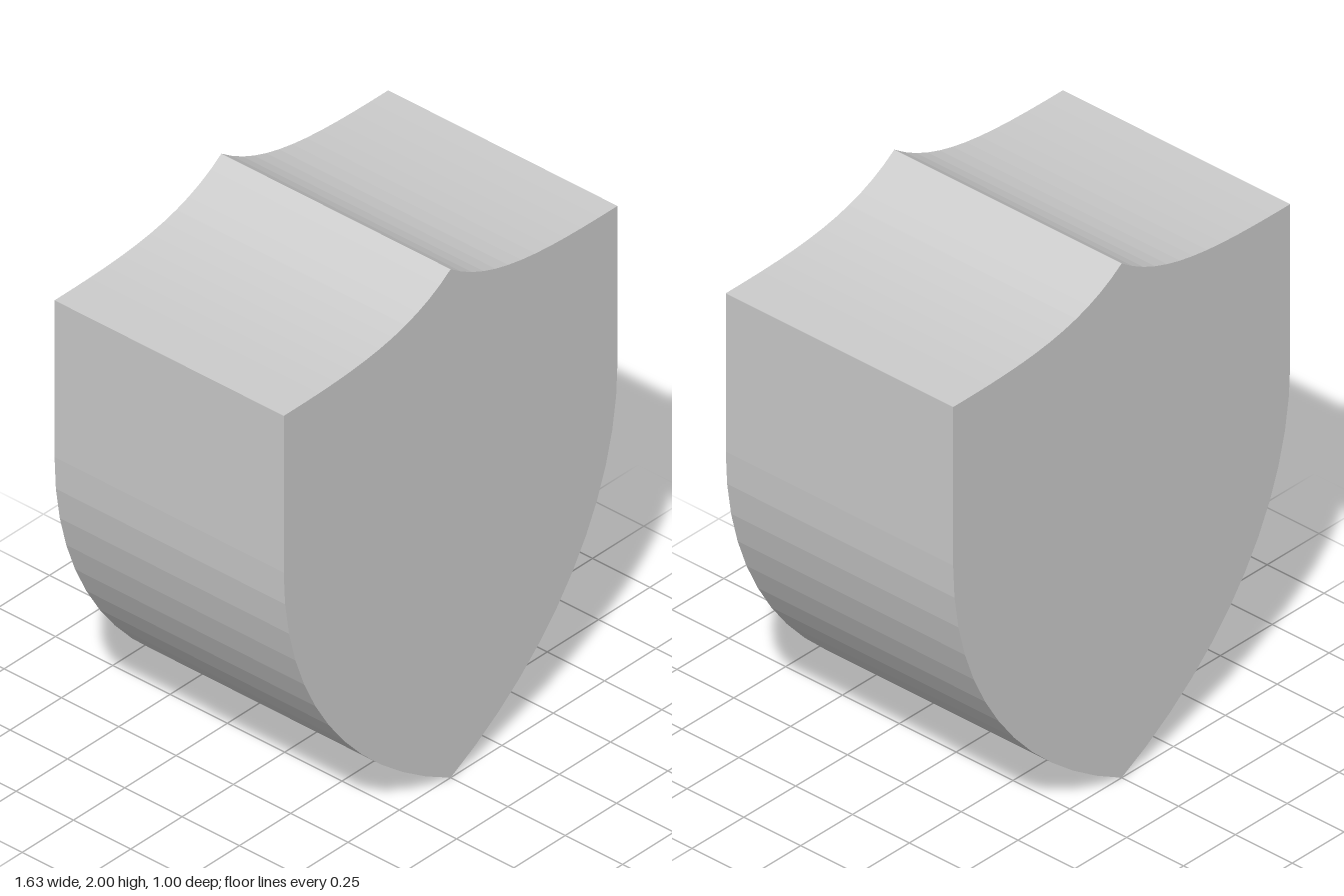
import * as THREE from 'three';

const HALF_WIDTH = 0.813;
const DEPTH = 1;

// Shield outline: pointed base, straight upper sides, concave top rising to a peak
function shieldOutline() {
  const w = HALF_WIDTH;
  const s = new THREE.Shape();
  s.moveTo(0, 0);
  s.bezierCurveTo(0.5, 0.25, w, 0.7, w, 1.22);
  s.lineTo(w, 1.836);
  s.bezierCurveTo(0.45, 1.836, 0.2, 1.85, 0, 2);
  s.bezierCurveTo(-0.2, 1.85, -0.45, 1.836, -w, 1.836);
  s.lineTo(-w, 1.22);
  s.bezierCurveTo(-w, 0.7, -0.5, 0.25, 0, 0);
  return s;
}

export function createModel() {
  const group = new THREE.Group();
  group.name = 'shield';

  // Solid body, extruded front to back with faceted walls
  const geometry = new THREE.ExtrudeGeometry(shieldOutline(), {
    depth: DEPTH,
    bevelEnabled: false,
    curveSegments: 12,
  });
  geometry.translate(0, 0, -DEPTH / 2);

  const body = new THREE.Mesh(
    geometry,
    new THREE.MeshStandardMaterial({ color: 0xcccccc, flatShading: true })
  );
  body.name = 'shieldBody';
  group.add(body);
  return group;
}
